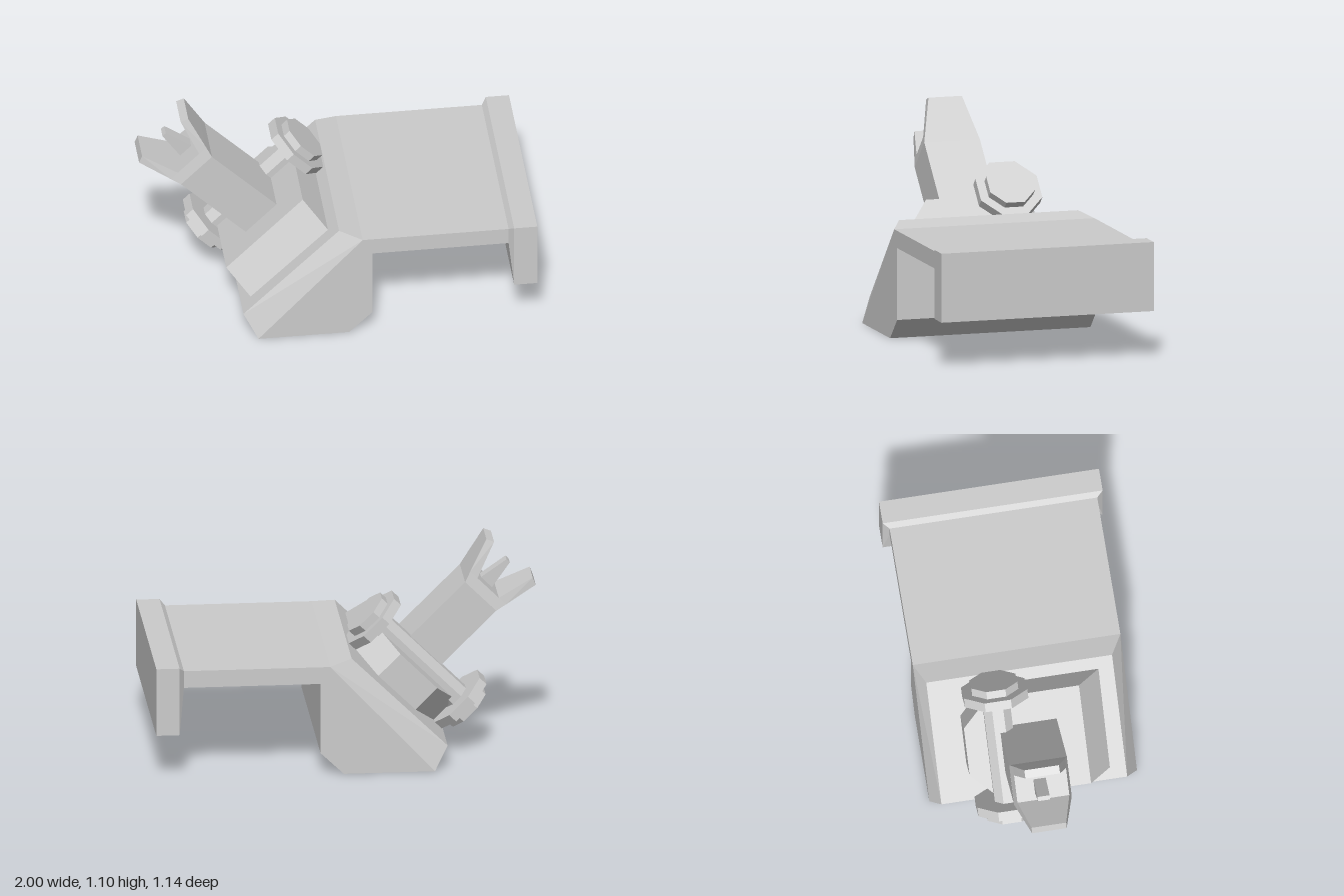
import * as THREE from 'three';
import { ConvexGeometry } from 'three/addons/geometries/ConvexGeometry.js';

const material = new THREE.MeshStandardMaterial({ color: 0xcccccc, flatShading: true });

function add(parent, name, geometry) {
  const mesh = new THREE.Mesh(geometry, material);
  mesh.name = name;
  parent.add(mesh);
  return mesh;
}

// Convex solid from corner triples
const hull = (points) => new ConvexGeometry(points.map((p) => new THREE.Vector3(...p)));

// Outline of [x, y] corners repeated at z = mid - half and z = mid + half
const slab = (outline, half, mid = 0) =>
  outline.flatMap(([x, y]) => [[x, y, mid - half], [x, y, mid + half]]);

// Eight-sided bar along x, flat side up, sized by its distance across flats
function octagonBar(halfFlats, length) {
  const r = halfFlats / Math.cos(Math.PI / 8);
  return new THREE.CylinderGeometry(r, r, length, 8).rotateY(Math.PI / 8).rotateZ(Math.PI / 2);
}

export function createModel() {
  const model = new THREE.Group();
  model.name = 'mountedTurret';

  // Foot block and arm in one profile
  const profile = new THREE.Shape([
    [-0.44, 0], [0.03, 0], [0.15, 0.115], [0.15, 0.49],
    [0.855, 0.49], [0.855, 0.58], [0.1, 0.58],
  ].map((p) => new THREE.Vector2(...p)));
  const bodyGeometry = new THREE.ExtrudeGeometry(profile, { depth: 1.08, bevelEnabled: false });
  add(model, 'body', bodyGeometry.translate(0, 0, -0.54));

  // Bevelled sloping face
  add(model, 'slopedFace', hull([
    ...slab([[-0.44, 0], [0.1, 0.58]], 0.54),
    ...slab([[-0.51, 0.12], [-0.015, 0.605]], 0.483, -0.005),
  ]));

  // Flared lip at the end of the arm
  add(model, 'endLip', hull([
    ...slab([[0.855, 0.49], [0.855, 0.58]], 0.54),
    ...slab([[0.88, 0.245], [0.88, 0.605], [1, 0.245], [1, 0.605]], 0.572),
  ]));

  // Turret frame: x runs up the slope, y points out of it
  const turret = new THREE.Group();
  turret.name = 'turret';
  turret.position.set(-0.2625, 0.3625, 0);
  turret.rotation.z = Math.PI / 4;
  model.add(turret);

  // Base plate: sloping front edge, cut back corners
  const plate = [];
  for (const s of [-1, 1]) {
    for (const [y, front] of [[-0.01, 0.405], [0.16, 0.28]]) {
      plate.push([s * 0.28, y, front], [s * 0.28, y, -0.2], [s * 0.134, y, -0.335]);
    }
  }
  add(turret, 'turretBase', hull(plate));

  // Axle with a disc and a boss at each end
  const axle = new THREE.Group();
  axle.name = 'axle';
  axle.position.set(0, 0.165, -0.155);
  turret.add(axle);
  add(axle, 'axleRod', octagonBar(0.07, 0.6));
  for (const s of [-1, 1]) {
    add(axle, 'axleDisc', octagonBar(0.165, 0.05)).position.x = s * 0.312;
    add(axle, 'axleBoss', octagonBar(0.12, 0.043)).position.x = s * 0.357;
  }

  // Barrel with a widening muzzle
  const mid = -0.005;
  add(turret, 'barrel', new THREE.BoxGeometry(0.226, 0.493, 0.3)).position.set(0, 0.387, mid);
  add(turret, 'muzzle', hull([
    ...slab([[-0.113, 0.633], [0.113, 0.633]], 0.15, mid),
    ...slab([[-0.13, 0.69], [0.13, 0.69]], 0.135, mid),
  ]));

  // Prongs and centre spike
  for (const s of [-1, 1]) {
    add(turret, 'prong', hull([
      ...slab([[s * 0.078, 0.69], [s * 0.13, 0.69]], 0.135, mid),
      ...slab([[s * 0.141, 0.88], [s * 0.18, 0.863]], 0.09, mid),
    ]));
  }
  add(turret, 'spike', hull(slab([[-0.04, 0.69], [0.04, 0.69], [0.012, 0.848], [-0.012, 0.848]], 0.032, -0.012)));

  return model;
}
